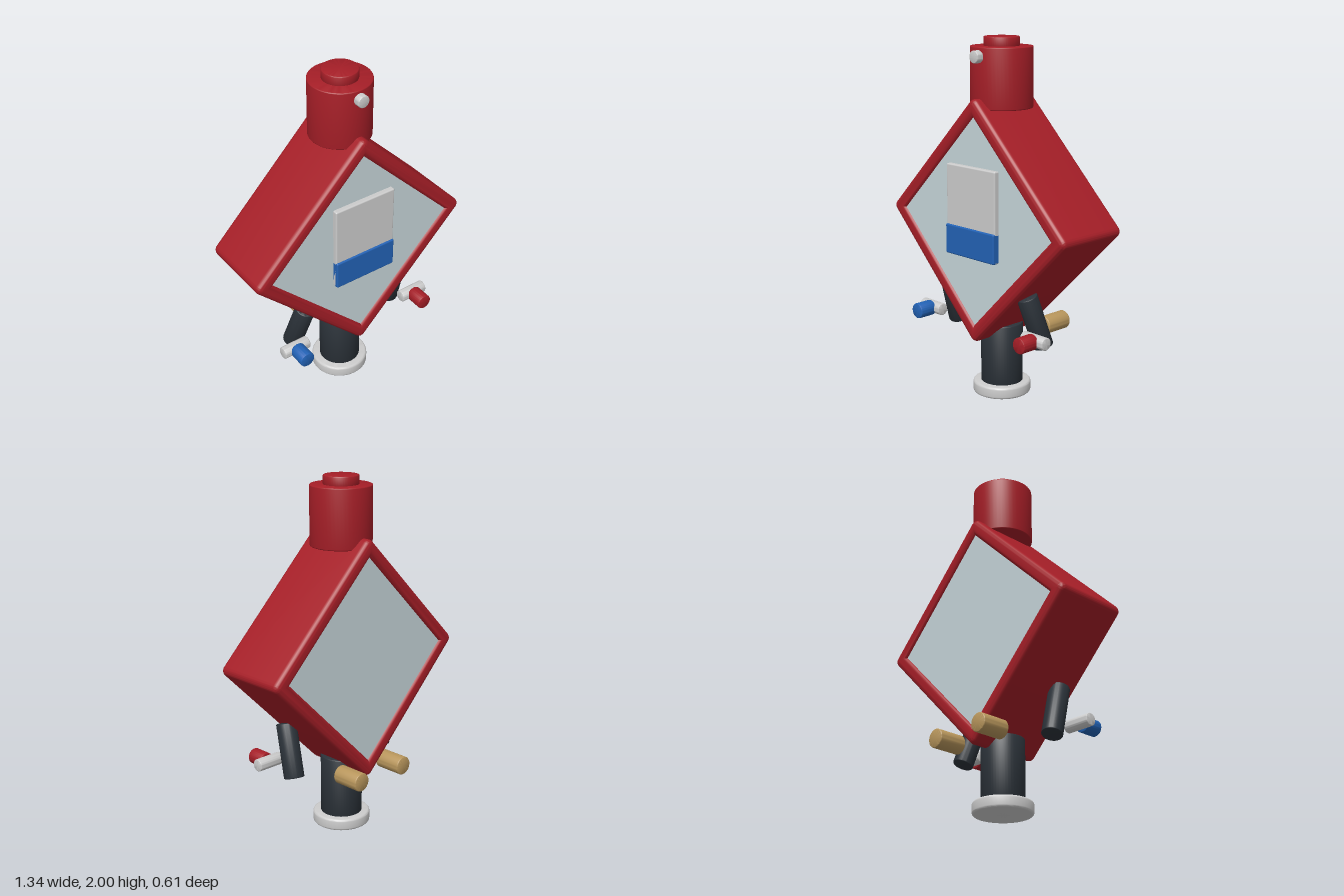
import * as THREE from 'three';
import { toCreasedNormals } from 'three/addons/utils/BufferGeometryUtils.js';
import { RoundedBoxGeometry } from 'three/addons/geometries/RoundedBoxGeometry.js';

const paint = (color) => new THREE.MeshStandardMaterial({ color });
const RED = paint(0xa51e27), DARK = paint(0x2b3239), GREY = paint(0xcccccc);
const PANE = paint(0xc6d5d9), BLUE = paint(0x2262b5), GOLD = paint(0xb8965c);

// Solid round bar between two points, with a slightly eased rim
function rod(name, from, to, radius, material, ease = 0.006) {
  const a = new THREE.Vector3(...from), b = new THREE.Vector3(...to);
  const axis = b.clone().sub(a), h = axis.length() / 2;
  const profile = [new THREE.Vector2(0, -h)];
  for (const end of [-1, 1]) {
    for (let i = 0; i <= 4; i++) {
      const t = (end < 0 ? i : 4 - i) / 4 * Math.PI / 2;
      profile.push(new THREE.Vector2(
        radius - ease + ease * Math.sin(t), end * (h - ease + ease * Math.cos(t))));
    }
  }
  profile.push(new THREE.Vector2(0, h));
  const geometry = toCreasedNormals(new THREE.LatheGeometry(profile, 48), 0.6);
  const mesh = new THREE.Mesh(geometry, material);
  mesh.name = name;
  mesh.position.copy(a).add(b).multiplyScalar(0.5);
  mesh.quaternion.setFromUnitVectors(new THREE.Vector3(0, 1, 0), axis.normalize());
  return mesh;
}

function box(name, w, h, d, r, x, y, z, material) {
  const mesh = new THREE.Mesh(new RoundedBoxGeometry(w, h, d, 3, r), material);
  mesh.name = name;
  mesh.position.set(x, y, z);
  return mesh;
}

// Rounded square outline centred on the origin
function square(path, half, r) {
  const k = half - r;
  path.absarc(k, k, r, 0, Math.PI / 2);
  path.absarc(-k, k, r, Math.PI / 2, Math.PI);
  path.absarc(-k, -k, r, Math.PI, Math.PI * 1.5);
  path.absarc(k, -k, r, Math.PI * 1.5, Math.PI * 2);
  path.closePath();
  return path;
}

// Diamond case: a rounded frame around a pane on the front and back
function createCase() {
  const group = new THREE.Group();
  group.name = 'diamondCase';
  const shape = square(new THREE.Shape(), 0.484, 0.036);
  const k = 0.403;
  shape.holes.push(new THREE.Path([[-k, -k], [-k, k], [k, k], [k, -k]]
    .map(([x, y]) => new THREE.Vector2(x, y))));
  const bevel = 0.03, depth = 0.45;
  const geometry = new THREE.ExtrudeGeometry(shape, {
    depth: depth - 2 * bevel, bevelEnabled: true, bevelThickness: bevel,
    bevelSize: bevel, bevelOffset: -bevel, bevelSegments: 6, curveSegments: 8,
  });
  geometry.translate(0, 0, -depth / 2 + bevel);
  const frame = new THREE.Mesh(toCreasedNormals(geometry, 0.6), RED);
  frame.name = 'frame';
  const pane = new THREE.Mesh(new THREE.BoxGeometry(0.82, 0.82, depth - 0.03), PANE);
  pane.name = 'panes';
  group.add(frame, pane);
  group.rotation.z = Math.PI / 4;
  group.position.set(0, 1.01, 0.025);
  return group;
}

// Arm, hand bar and coloured grip on one side (s = 1 is the model's left)
function createArm(s) {
  const group = new THREE.Group();
  group.name = s > 0 ? 'leftArm' : 'rightArm';
  group.add(
    rod('upperArm', [s * 0.312, 0.648, 0.143], [s * 0.343, 0.358, 0.047], 0.057, DARK),
    rod('handBar', [s * 0.33, 0.435, 0.18], [s * 0.495, 0.435, 0.18], 0.035, GREY),
    rod('grip', [s * 0.412, 0.435, 0.2], [s * 0.412, 0.435, 0.305], 0.044, s > 0 ? RED : BLUE),
  );
  return group;
}

export function createModel() {
  const model = new THREE.Group();
  const z = 0.027;

  // Stand
  model.add(rod('baseDisc', [0, 0, z], [0, 0.068, z], 0.163, GREY, 0.014));
  model.add(rod('column', [0, 0.06, z], [0, 0.412, z], 0.118, DARK));

  // Body with the two-tone card on its front
  model.add(createCase());
  model.add(box('card', 0.38, 0.5, 0.04, 0.008, 0, 1.07, 0.243, GREY));
  model.add(box('cardBand', 0.38, 0.165, 0.05, 0.008, 0, 0.9025, 0.248, BLUE));

  // Head
  model.add(rod('head', [0, 1.62, z], [0, 1.95, z], 0.17, RED));
  model.add(rod('headCap', [0, 1.94, z], [0, 2, z], 0.097, RED));
  model.add(rod('headButton', [0, 1.9, 0.17], [0, 1.9, 0.233], 0.034, GREY));

  // Arms and rear pegs
  for (const s of [1, -1]) {
    model.add(createArm(s));
    model.add(rod('rearPeg', [s * 0.165, 0.385, -0.137], [s * 0.165, 0.385, -0.305], 0.052, GOLD));
  }
  return model;
}
